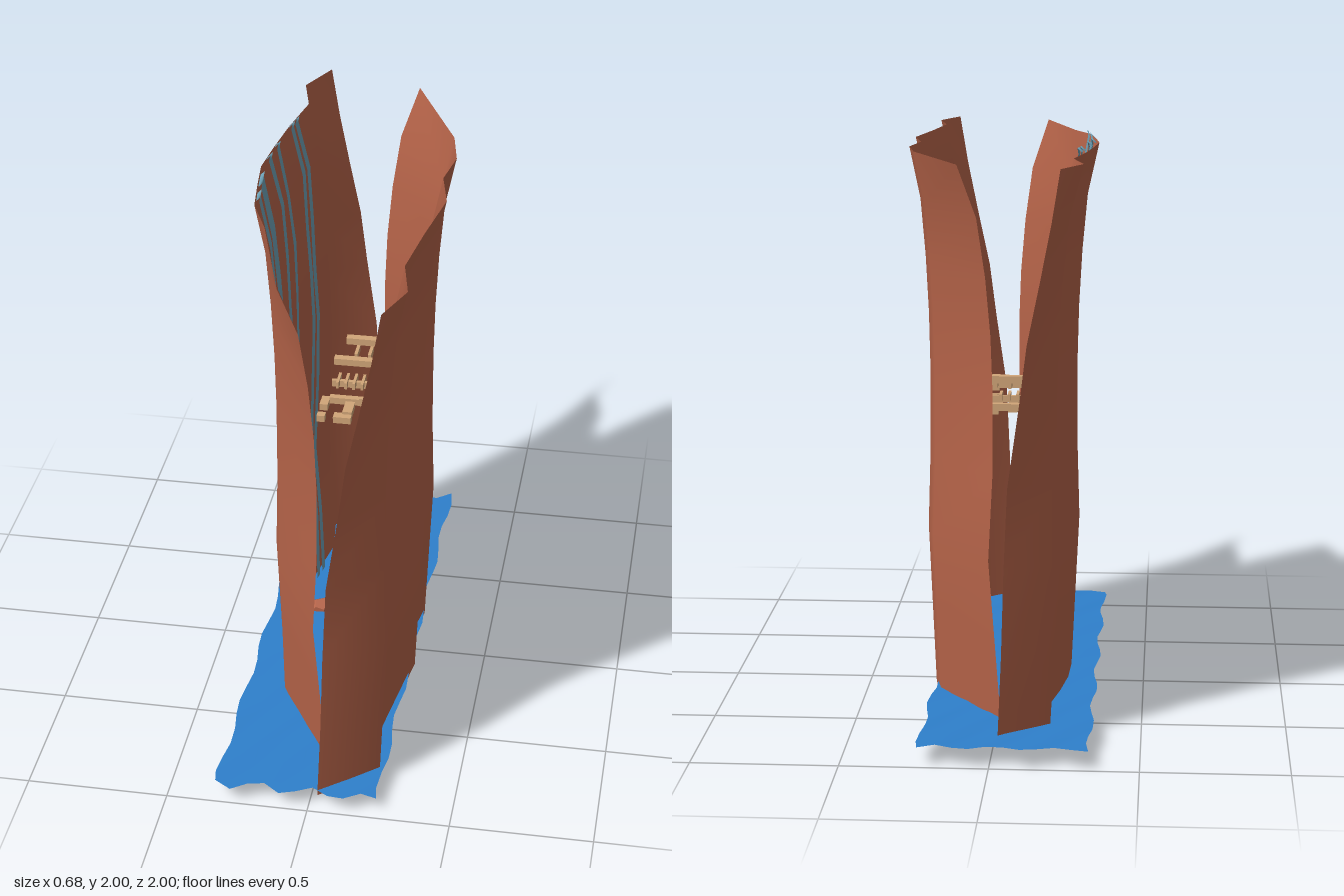
import * as THREE from 'three';

const mat = (name, color, side = THREE.FrontSide) => {
  const m = new THREE.MeshStandardMaterial({ color, side });
  m.name = name;
  return m;
};

// Wall heights and how far each height leans from the foot line to the rim line
const heights = [0.045, 0.34, 0.63, 0.92, 1.2, 1.4, 1.6, 1.8, 1.98];
const lean = [0, 0.15, 0.3, 0.2, 0.19, 0.24, 0.36, 0.56, 1];
const endLean = [0, 0.06, 0.1, 0.16, 0.35, 0.47, 0.67, 0.86, 1];

// Plan stations: foot x, foot z, rim x, rim z
const leftPlan = [ // on the -x side of the river
  [-0.02, -0.855, -0.225, -0.855], [-0.19, -0.70, -0.295, -0.70], [-0.17, -0.54, -0.255, -0.54],
  [-0.21, -0.32, -0.29, -0.34], [-0.23, -0.17, -0.31, -0.17], [-0.235, -0.01, -0.325, -0.01],
  [-0.23, 0.13, -0.31, 0.13], [-0.215, 0.27, -0.29, 0.285], [-0.19, 0.40, -0.225, 0.44],
  [0.03, 0.77, -0.105, 0.85],
];
const rightPlan = [
  [-0.02, -0.66, 0.12, -0.745], [0.215, -0.33, 0.30, -0.345], [0.245, -0.18, 0.33, -0.18],
  [0.22, -0.02, 0.305, -0.02], [0.255, 0.15, 0.34, 0.15], [0.22, 0.40, 0.30, 0.40],
  [0.19, 0.63, 0.27, 0.63], [0.225, 0.80, 0.305, 0.80], [0.03, 0.96, 0.245, 0.96],
];

// A sheet of points from a rule (column, row) -> [x, y, z]
function sheet(cols, rows, rule) {
  const g = new THREE.PlaneGeometry(1, 1, cols, rows);
  const p = g.attributes.position;
  for (let j = 0; j <= rows; j++)
    for (let i = 0; i <= cols; i++) p.setXYZ(j * (cols + 1) + i, ...rule(i, j));
  g.computeVertexNormals();
  return g;
}

function wallPoint(plan, i, k, clipped) {
  const [fx, fz, rx, rz] = plan[i];
  const f = i === clipped ? endLean[k] : lean[k];
  return [fx + (rx - fx) * f, heights[k], fz + (rz - fz) * f];
}

// x of the left wall at a given z and height row
function leftWallX(z, k) {
  for (let i = 0; i < leftPlan.length - 1; i++) {
    const a = wallPoint(leftPlan, i, k, 0), b = wallPoint(leftPlan, i + 1, k, 0);
    if (z <= b[2]) return a[0] + (b[0] - a[0]) * (z - a[2]) / (b[2] - a[2]);
  }
  return 0;
}

export function createModel() {
  const model = new THREE.Group();
  const clay = mat('red rock', 0xb8654a, THREE.DoubleSide);
  const blue = mat('river blue', 0x2e80cc, THREE.DoubleSide);
  const fall = mat('waterfall grey blue', 0x6fa3b8, THREE.DoubleSide);
  const wood = mat('pale wood', 0xd2a679);
  const add = (name, geometry, material, parent = model) => {
    const m = new THREE.Mesh(geometry, material);
    m.name = name;
    parent.add(m);
    return m;
  };

  // Canyon walls
  const top = heights.length - 1;
  add('leftCanyonWall', sheet(leftPlan.length - 1, top,
    (i, j) => wallPoint(leftPlan, i, top - j, 0)), clay);
  add('rightCanyonWall', sheet(rightPlan.length - 1, top,
    (i, j) => wallPoint(rightPlan, rightPlan.length - 1 - i, top - j, rightPlan.length - 1)), clay);

  // River sheet with ragged edges and a slight ripple
  add('river', sheet(10, 24, (i, j) => {
    const u = i / 10, v = j / 24;
    const edge = Math.abs(2 * v - 1);
    const ragged = j === 0 || j === 24 ? 0.025 * (1 - Math.sin(i * 1.9 + j + 0.7)) : 0;
    const x = -0.33 + 0.57 * u + (i === 0 || i === 10 ? 0.01 * Math.sin(j * 1.3) : 0);
    return [x, 0.068 + 0.004 * Math.sin(i * 2.1 + j * 1.7) * edge, (2 * v - 1) * (1 - ragged)];
  }), blue);

  // Waterfalls down the inside of the left wall
  const falls = new THREE.Group();
  falls.name = 'waterfalls';
  model.add(falls);
  for (const [z0, z1] of [[0.205, 0.265], [0.065, 0.16], [-0.085, -0.05], [-0.18, -0.15], [-0.345, -0.315], [-0.39, -0.36]]) {
    add('waterfall', sheet(2, top + 2, (i, j) => {
      const k = Math.min(top, top + 2 - j);
      const z = z0 + (z1 - z0) * i / 2 + (j > 2 ? 0.012 * Math.sin(j * 2 + z0 * 20) : 0);
      const x = leftWallX(z, k);
      if (j === 0) return [x + 0.005, 1.985, z];
      if (j === 1) return [x + 0.02, 2, z];
      return [x + 0.016, k === 0 ? 0.06 : heights[k], z];
    }), fall, falls);
  }

  // Boulders in the river: x, y, z, size x/y/z, turn
  for (const [x, y, z, sx, sy, sz, turn] of [
    [-0.15, 0.062, -0.125, 0.05, 0.045, 0.04, 0.5], [0.2, 0.058, -0.185, 0.043, 0.042, 0.036, 0.2],
    [0.135, 0.066, -0.26, 0.024, 0.022, 0.018, -0.4], [0.14, 0.05, 0.455, 0.072, 0.05, 0.052, 0.7],
  ]) {
    const rock = add('boulder', new THREE.DodecahedronGeometry(1, 0).toNonIndexed(), clay);
    rock.scale.set(sx, sy, sz);
    rock.rotation.y = turn;
    rock.position.set(x, y, z);
  }

  // Wooden walkways: x from/to, z from/to, height of the deck
  const walkway = new THREE.Group();
  walkway.name = 'walkways';
  model.add(walkway);
  const plank = (name, x0, x1, z0, z1, y, h = 0.025) =>
    add(name, new THREE.BoxGeometry(x1 - x0, h, z1 - z0), wood, walkway)
      .position.set((x0 + x1) / 2, y - h / 2, (z0 + z1) / 2);
  for (const d of [
    [-0.07, 0.055, -0.28, -0.25, 1.19], [-0.1, 0.125, -0.185, -0.155, 1.155],
    [-0.1, 0.115, -0.08, -0.055, 1.05], [0.03, 0.22, -0.05, -0.02, 1.03],
    [-0.13, -0.1, -0.08, -0.02, 1.04], [-0.04, -0.005, -0.055, 0.02, 1.04],
    [-0.07, -0.005, 0.01, 0.045, 1.03], [-0.13, -0.1, 0.015, 0.045, 1.03],
    [0.095, 0.125, -0.155, -0.13, 1.155],
  ]) plank('deck', ...d);
  for (const x of [-0.03, 0.02]) plank('beam', x, x + 0.012, -0.25, -0.185, 1.165);
  for (const x of [-0.08, -0.05, -0.02, 0.01]) plank('beam', x, x + 0.01, -0.155, -0.08, 1.1);
  plank('crossBeam', -0.1, 0.06, -0.125, -0.11, 1.09);

  // Stairs
  for (let i = 0; i < 6; i++) {
    plank('step', 0.03, 0.058, -0.02 + i * 0.016, -0.01 + i * 0.016, 1.03 + i * 0.02, 0.012);
    plank('step', 0.095, 0.125, -0.13 + i * 0.013, -0.121 + i * 0.013, 1.135 - i * 0.018, 0.012);
  }
  return model;
}
